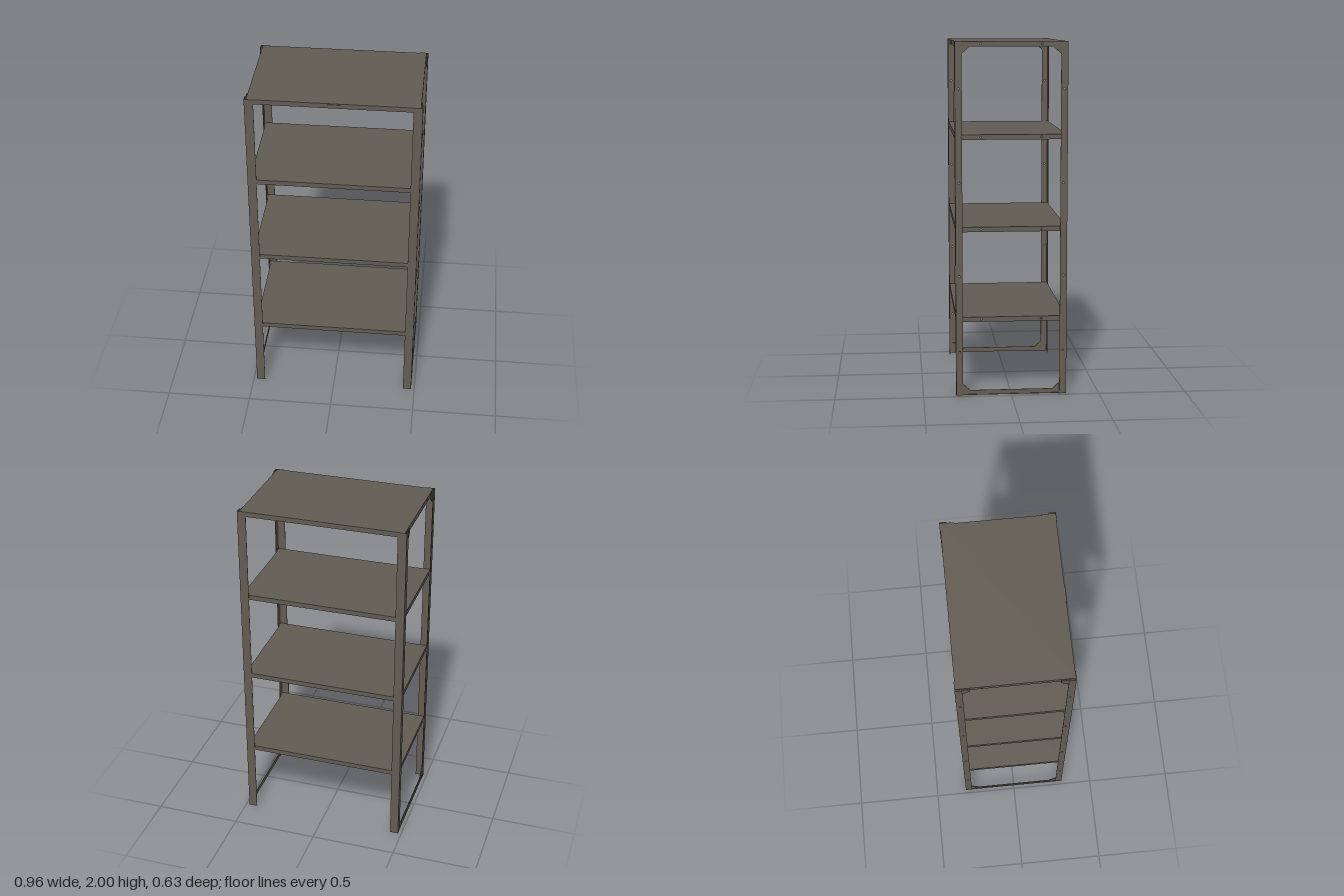
import * as THREE from 'three';

const steel = new THREE.MeshStandardMaterial({ color: 0x625c53 });
steel.name = 'bronze grey steel';

const X = 0.48, Z = 0.314, H = 2, T = 0.003;
const shelfX = 0.469, shelfZ = Z - T, rim = 0.028;
const shelfTops = [1.999, 1.486, 0.968, 0.453];
const postHoles = [1.74, 1.215, 0.69, 0.255];

function box(parent, name, x0, x1, y0, y1, z0, z1) {
  const mesh = new THREE.Mesh(new THREE.BoxGeometry(x1 - x0, y1 - y0, z1 - z0), steel);
  mesh.position.set((x0 + x1) / 2, (y0 + y1) / 2, (z0 + z1) / 2);
  mesh.name = name;
  parent.add(mesh);
}

// Sheet lying in the z-y plane, with its inner face at x and round holes through it
function sidePlate(parent, name, outline, holes, x, thickness, r = 0.005) {
  const shape = new THREE.Shape(outline.map(([z, y]) => new THREE.Vector2(-z, y)));
  for (const [z, y] of holes) {
    shape.holes.push(new THREE.Path().absarc(-z, y, r, 0, Math.PI * 2, true));
  }
  const geo = new THREE.ExtrudeGeometry(shape, { depth: thickness, bevelEnabled: false, curveSegments: 10 });
  geo.rotateY(Math.PI / 2);
  const mesh = new THREE.Mesh(geo, steel);
  mesh.position.x = x;
  mesh.name = name;
  parent.add(mesh);
}

const rect = (z0, z1, y0, y1) => [[z0, y0], [z1, y0], [z1, y1], [z0, y1]];

function bolt(parent, x, y, z) {
  const mesh = new THREE.Mesh(new THREE.CylinderGeometry(0.006, 0.006, 0.004, 6), steel);
  mesh.rotation.z = Math.PI / 2;
  mesh.position.set(x, y, z);
  mesh.name = 'bolt';
  parent.add(mesh);
}

// Folded sheet tray, open below
function makeShelf(top) {
  const g = new THREE.Group();
  g.name = 'shelf';
  const low = top - rim;
  box(g, 'shelfTop', -shelfX, shelfX, top - T, top, -shelfZ, shelfZ);
  for (const s of [-1, 1]) {
    const a = s * shelfZ, b = s * (shelfZ - T);
    box(g, 'shelfLongRim', -shelfX, shelfX, low, top - T, Math.min(a, b), Math.max(a, b));
    sidePlate(g, 'shelfEndRim', rect(-shelfZ + T, shelfZ - T, low, top - T),
      [[-0.17, top - 0.014], [0.17, top - 0.014]], s > 0 ? shelfX - T : -shelfX, T);
  }
  return g;
}

// End frame: two angle posts, a floor bar and corner gussets
function makeEndFrame(s) {
  const g = new THREE.Group();
  g.name = s > 0 ? 'leftEndFrame' : 'rightEndFrame';
  const span = (a, b) => (s > 0 ? [a, b] : [-b, -a]);
  const [outer0] = span(X - 0.004, X);
  const [gusset0] = span(X - 0.009, X - 0.004);
  for (const f of [-1, 1]) {
    const [z0, z1] = f > 0 ? [Z - T, Z] : [-Z, -Z + T];
    box(g, 'postFace', ...span(0.43, X), 0, H, z0, z1);
    const [w0, w1] = f > 0 ? [0.275, Z - T] : [-Z + T, -0.275];
    sidePlate(g, 'postSide', rect(w0, w1, 0, H), postHoles.map(y => [f * 0.293, y]), outer0, 0.004);
    // Gussets at top and foot
    for (const up of [false, true]) {
      const yy = y => (up ? H - 0.002 - y : y);
      let pts = [[0.31, 0.003], [0.235, 0.003], [0.235, 0.03], [0.272, 0.064], [0.31, 0.064]]
        .map(([z, y]) => [f * z, yy(y)]);
      sidePlate(g, 'cornerGusset', pts, [], gusset0, 0.005);
      for (const z of [0.25, 0.292]) bolt(g, s * (X - 0.006), yy(0.016), f * z);
    }
    // Bolts holding the shelves
    for (const top of shelfTops.slice(1)) bolt(g, s * (X - 0.0025), top - 0.014, f * 0.293);
    for (const top of shelfTops.slice(1)) {
      const [p0, p1] = f > 0 ? [0.28, 0.305] : [-0.305, -0.28];
      box(g, 'shelfSpacer', ...span(shelfX, X - 0.004), top - rim, top - 0.002, p0, p1);
    }
  }
  box(g, 'floorBar', ...span(X - 0.007, X - 0.004), 0.003, 0.03, -0.276, 0.276);
  box(g, 'floorBarFoot', ...span(X - 0.007, X), 0.003, 0.006, -0.276, 0.276);
  return g;
}

export function createModel() {
  const model = new THREE.Group();
  model.name = 'shelvingUnit';
  for (const top of shelfTops) model.add(makeShelf(top));
  for (const s of [-1, 1]) model.add(makeEndFrame(s));
  // Small blank plate on the front edge of the top shelf
  box(model, 'frontPlate', -0.041, 0.041, 1.977, 1.994, shelfZ, Z);
  return model;
}
